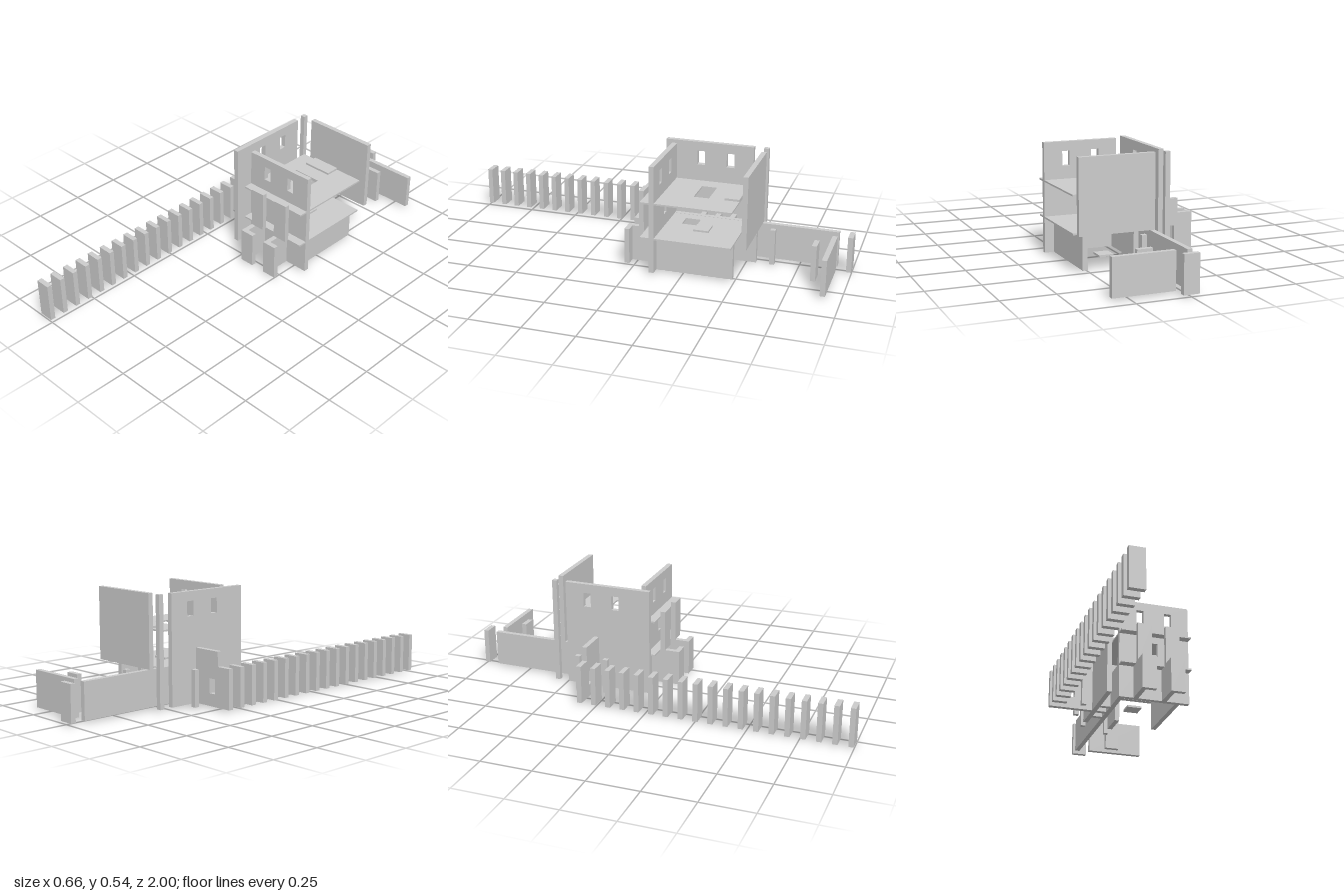
import * as THREE from 'three';

const T = 0.0244;  // wall thickness
const M = 0.0733;  // module width
const BASE = 0.01; // bottom of the walls
const LOW = 0.185; // top of the ground storey
const TOP = 0.535; // top of the upper storey

export function createModel() {
  const model = new THREE.Group();
  const material = new THREE.MeshStandardMaterial({ color: 0xcccccc, flatShading: true });

  const add = (name, geometry) => {
    const mesh = new THREE.Mesh(geometry, material);
    mesh.name = name;
    model.add(mesh);
    return mesh;
  };

  // Box given by its limits on each axis
  const box = (name, [x0, x1], [y0, y1], [z0, z1]) =>
    add(name, new THREE.BoxGeometry(x1 - x0, y1 - y0, z1 - z0))
      .position.set((x0 + x1) / 2, (y0 + y1) / 2, (z0 + z1) / 2);

  // Flat plate with rectangular holes; rectangles are [u0, u1, v0, v1]
  const rect = (Type, [u0, u1, v0, v1]) => new Type([
    new THREE.Vector2(u0, v0), new THREE.Vector2(u1, v0),
    new THREE.Vector2(u1, v1), new THREE.Vector2(u0, v1)]);
  const plate = (outline, holes, depth) => {
    const shape = rect(THREE.Shape, outline);
    shape.holes = holes.map((h) => rect(THREE.Path, h));
    return new THREE.ExtrudeGeometry(shape, { depth, bevelEnabled: false });
  };

  // Row of fence slats
  for (let i = 0; i < 19; i++) {
    const z = 1 - i * M;
    box('fenceSlat', [-0.33, -0.257], [BASE, 0.2], [z - T, z]);
  }

  // Annex wall with a window, its posts and the connecting pieces
  add('annexWall', plate([-0.257, -0.11, BASE, 0.27], [[-0.239, -0.202, 0.07, 0.14]], T))
    .position.z = -0.344;
  for (const z of [-0.271, -0.417]) box('annexPost', [-0.183, -0.159], [BASE, LOW], [z, z + T]);
  for (const z of [-0.271, -0.344, -0.417]) {
    box('connectingPiece', [-0.086, -0.037], [BASE, LOW], [z, z + T]);
  }

  // Tall side wall with two windows, and the post behind it
  add('tallSideWall', plate([-0.49, -0.055, BASE, TOP],
    [[-0.25, -0.212, 0.42, 0.49], [-0.396, -0.358, 0.42, 0.49]], T).rotateY(-Math.PI / 2))
    .position.x = -0.086;
  box('tallPost', [-0.11, -0.086], [BASE, TOP], [-0.562, -0.538]);

  // House front with windows, and the raised back wall
  add('frontWall', plate([-0.037, 0.327, BASE, TOP], [
    [0.053, 0.091, 0.42, 0.49], [0.2, 0.237, 0.42, 0.49], [0.126, 0.163, 0.245, 0.315]], T))
    .position.z = -0.123;
  box('backWall', [-0.037, 0.327], [LOW, TOP], [-0.562, -0.538]);

  // Floors with stair openings
  const floor = (name, y, hole) => add(name,
    plate([-0.037, 0.327, -0.49, -0.055], [hole], 0.008).rotateX(Math.PI / 2)).position.y = y;
  floor('middleFloor', 0.184, [0.037, 0.11, -0.268, -0.195]);
  floor('upperFloor', 0.358, [0.037, 0.183, -0.345, -0.272]);

  // Stair treads
  box('groundTread', [0.037, 0.11], [0, 0.01], [-0.268, -0.195]);
  box('middleTread', [0.11, 0.183], [0.184, 0.193], [-0.345, -0.272]);
  box('upperTread', [0.037, 0.183], [0.358, 0.368], [-0.49, -0.42]);

  // Ground storey walls
  box('longWall', [-0.037, -0.013], [BASE, LOW], [-0.928, -0.123]);
  box('innerWall', [0.257, 0.281], [BASE, 0.176], [-0.49, -0.123]);
  box('rearPartition', [0.037, 0.061], [BASE, 0.176], [-0.49, -0.417]);
  box('rearPartition', [0.037, 0.061], [BASE, LOW], [-0.49, -0.55]
    .sort((a, b) => a - b));

  // Front bays: lower panel with a side return, upper panel above
  for (const x of [0.037, 0.183]) {
    box('bayLowerPanel', [x, x + M], [BASE, LOW], [0.021, 0.045]);
    box('bayReturn', [x, x + T], [BASE, LOW], [-0.055, 0.021]);
    box('bayReturn', [x, x + T], [BASE, 0.176], [-0.099, -0.055]);
    box('bayUpperPanel', [x, x + M], [LOW, 0.385], [-0.052, -0.028]);
  }

  // Yard walls behind the house
  box('yardPost', [0.037, 0.061], [BASE, LOW], [-0.638, -0.614]);
  box('yardPanel', [0.11, 0.183], [BASE, LOW], [-0.857, -0.833]);
  box('yardWall', [0.037, 0.327], [BASE, LOW], [-0.928, -0.904]);
  box('yardEndPanel', [-0.037, 0.037], [BASE, LOW], [-1, -0.976]);

  return model;
}
